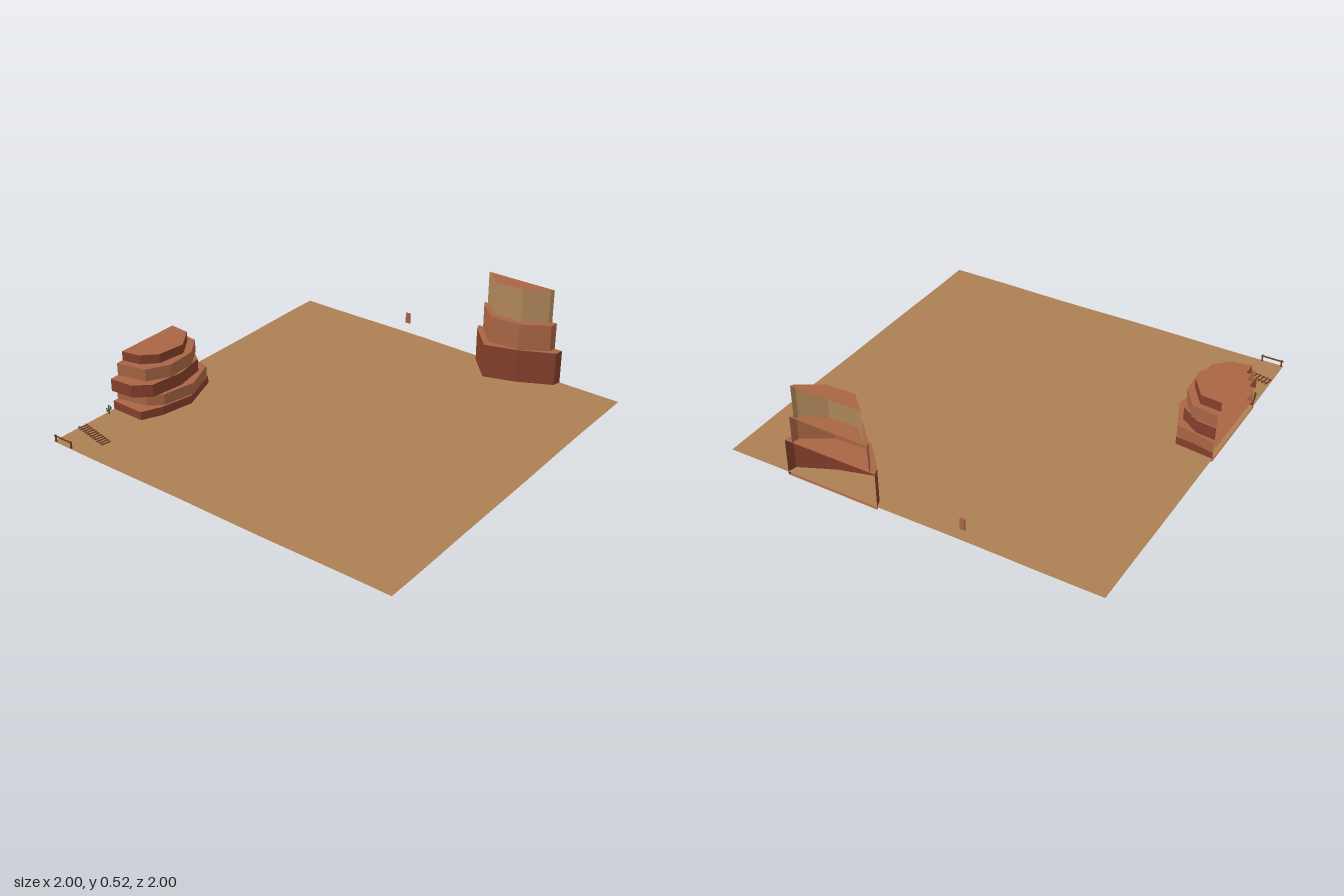
import * as THREE from 'three';

const mat = (name, color) => new THREE.MeshStandardMaterial({ name, color, flatShading: true, side: THREE.DoubleSide });

export function createModel() {
  const group = new THREE.Group();
  const sand = mat('sand', 0xac7f53);
  const redRock = mat('red rock', 0x853f2c);
  const orangeRock = mat('orange rock', 0xa86544);
  const tanRock = mat('tan rock', 0xb0875a);
  const wood = mat('weathered wood', 0x6e4029);
  const green = mat('cactus green', 0x4c5a2c);

  const add = (parent, name, geometry, material, x = 0, y = 0, z = 0) => {
    const mesh = new THREE.Mesh(geometry, material);
    mesh.name = name;
    mesh.position.set(x, y, z);
    parent.add(mesh);
    return mesh;
  };
  const section = (name) => {
    const g = new THREE.Group();
    g.name = name;
    group.add(g);
    return g;
  };

  // Gently uneven desert floor
  const floor = new THREE.PlaneGeometry(2, 2, 12, 12).rotateX(-Math.PI / 2);
  const p = floor.attributes.position;
  for (let i = 0; i < p.count; i++) {
    const x = p.getX(i), z = p.getZ(i);
    p.setY(i, 0.016 + 0.003 * Math.sin(x * 5.1 + z * 2.3) * Math.cos(z * 4.3 - x * 1.7));
  }
  add(group, 'desertFloor', floor, sand);

  // Rock layer: walls along an open outline, capped above and below,
  // left open where the edge of the tile cuts it
  function rockLayer(outline, y0, y1) {
    const v = [];
    const put = (...corners) => corners.forEach(([q, y]) => v.push(q[0], y, q[1]));
    for (let i = 0; i < outline.length - 1; i++) {
      const a = outline[i], b = outline[i + 1];
      put([a, y0], [b, y0], [b, y1], [a, y0], [b, y1], [a, y1]);
    }
    const wallCount = v.length / 3;
    for (let i = 1; i < outline.length - 1; i++) {
      const o = outline[0], a = outline[i], b = outline[i + 1];
      put([o, y1], [a, y1], [b, y1], [o, y0], [b, y0], [a, y0]);
    }
    const g = new THREE.BufferGeometry();
    g.setAttribute('position', new THREE.Float32BufferAttribute(v, 3));
    g.addGroup(0, wallCount, 0);
    g.addGroup(wallCount, v.length / 3 - wallCount, 1);
    g.computeVertexNormals();
    return g;
  }
  function rock(name, layers) {
    const g = section(name);
    layers.forEach(([wall, y0, y1, outline], i) =>
      add(g, `${name}Layer${i + 1}`, rockLayer(outline, y0, y1), [wall, orangeRock]));
  }

  // Wide banded butte on the back edge
  rock('butte', [
    [redRock, 0, 0.06, [[-0.595, -1], [-0.595, -0.81], [-0.49, -0.76], [-0.32, -0.725], [-0.11, -0.8], [-0.09, -1]]],
    [orangeRock, 0.06, 0.12, [[-0.565, -1], [-0.53, -0.83], [-0.47, -0.765], [-0.29, -0.73], [-0.12, -0.8], [-0.08, -0.99], [-0.08, -1]]],
    [redRock, 0.12, 0.188, [[-0.6, -1], [-0.59, -0.87], [-0.52, -0.79], [-0.34, -0.765], [-0.18, -0.8], [-0.11, -0.9], [-0.1, -1]]],
    [orangeRock, 0.188, 0.255, [[-0.55, -1], [-0.515, -0.84], [-0.4, -0.775], [-0.24, -0.785], [-0.125, -0.865], [-0.108, -1]]],
    [redRock, 0.255, 0.305, [[-0.51, -1], [-0.49, -0.9], [-0.42, -0.83], [-0.27, -0.81], [-0.155, -0.89], [-0.145, -1]]],
  ]);

  // Tall stepped tower on the left edge
  rock('tower', [
    [redRock, 0, 0.2, [[1, 0.155], [0.96, 0.17], [0.82, 0.3], [0.87, 0.47], [0.955, 0.65], [1, 0.66]]],
    [orangeRock, 0.2, 0.345, [[1, 0.185], [0.97, 0.2], [0.865, 0.305], [0.875, 0.47], [0.96, 0.61], [1, 0.617]]],
    [tanRock, 0.345, 0.525, [[1, 0.203], [0.905, 0.305], [0.91, 0.46], [0.98, 0.58], [1, 0.59]]],
  ]);

  // Fence by the back right corner
  const fence = section('fence');
  for (const z of [-0.99, -0.885])
    add(fence, 'fencePost', new THREE.BoxGeometry(0.007, 0.04, 0.007), wood, -0.993, 0.035, z);
  add(fence, 'fenceRail', new THREE.BoxGeometry(0.006, 0.006, 0.12), wood, -0.993, 0.048, -0.94);

  // Short ladder-like track
  const track = section('track');
  track.position.set(-0.842, 0.021, -0.885);
  track.rotation.y = -0.21;
  for (let i = 0; i < 11; i++)
    add(track, 'trackTie', new THREE.BoxGeometry(0.055, 0.004, 0.006), wood, 0, 0, -0.105 + i * 0.021);
  for (const x of [-0.019, 0.019])
    add(track, 'trackRail', new THREE.BoxGeometry(0.003, 0.004, 0.225), wood, x, 0.004, 0);

  // Small cactus with two raised arms
  const cactus = section('cactus');
  cactus.position.set(-0.645, 0, -0.985);
  add(cactus, 'cactusTrunk', new THREE.CylinderGeometry(0.004, 0.004, 0.05, 6), green, 0, 0.037, 0);
  for (const s of [-1, 1]) {
    add(cactus, 'cactusElbow', new THREE.BoxGeometry(0.014, 0.005, 0.005), green, s * 0.007, 0.034, 0);
    add(cactus, 'cactusArm', new THREE.CylinderGeometry(0.003, 0.003, 0.018, 6), green, s * 0.013, 0.042, 0);
  }

  // Lone board above the left edge
  add(group, 'hangingBoard', new THREE.BoxGeometry(0.008, 0.06, 0.026), orangeRock, 0.996, 0.11, -0.3);

  return group;
}
